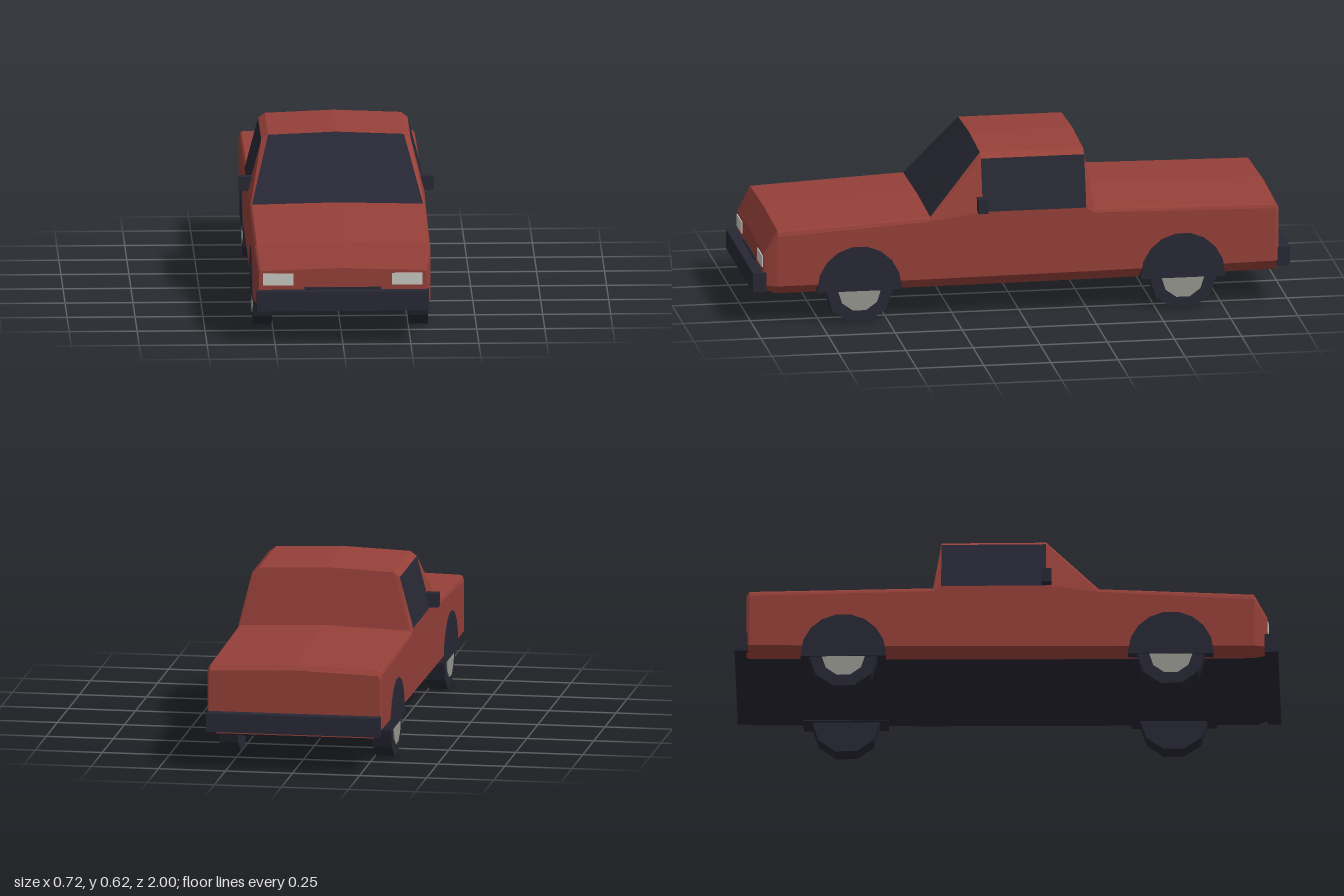
import * as THREE from 'three';

const mat = (name, color) => {
  const m = new THREE.MeshStandardMaterial({ color });
  m.name = name;
  return m;
};

// Hard facets: every face keeps its own normal
const faceted = (geo) => {
  const g = geo.index ? geo.toNonIndexed() : geo;
  g.computeVertexNormals();
  return g;
};

// Half cross-sections, front to back: sill bottom, sill, belt, roof side, top edge, crown
const SECTIONS = [
  { z: 0.96, p: [[0.28, 0.127], [0.31, 0.148], [0.308, 0.25], [0.307, 0.262], [0.302, 0.268], [0, 0.278]] },
  { z: 0.91, p: [[0.29, 0.112], [0.325, 0.147], [0.325, 0.335], [0.321, 0.35], [0.315, 0.358], [0, 0.366]] },
  { z: 0.34, p: [[0.29, 0.113], [0.325, 0.15], [0.325, 0.37], [0.321, 0.38], [0.315, 0.385], [0, 0.392]] },
  { z: 0.145, p: [[0.29, 0.114], [0.325, 0.152], [0.325, 0.398], [0.275, 0.588], [0.25, 0.606], [0, 0.616]] },
  { z: -0.24, p: [[0.29, 0.116], [0.325, 0.155], [0.325, 0.398], [0.275, 0.588], [0.25, 0.606], [0, 0.616]] },
  { z: -0.27, p: [[0.29, 0.116], [0.325, 0.155], [0.325, 0.378], [0.321, 0.388], [0.315, 0.394], [0, 0.405]] },
  { z: -0.945, p: [[0.29, 0.125], [0.325, 0.165], [0.325, 0.365], [0.321, 0.378], [0.315, 0.385], [0, 0.397]] },
  { z: -0.957, p: [[0.285, 0.132], [0.32, 0.168], [0.32, 0.35], [0.317, 0.36], [0.311, 0.367], [0, 0.378]] },
];

// Loft the body shell, sorting faces into paint, glass and underside
function bodyFaces() {
  const out = { paint: [], glass: [], underside: [] };
  const rings = SECTIONS.map(({ z, p }) => [
    ...p.map(([x, y]) => [x, y, z]),
    ...p.slice(0, -1).reverse().map(([x, y]) => [-x, y, z]),
  ]);
  const n = rings[0].length;
  for (let i = 0; i < rings.length - 1; i++) {
    for (let j = 0; j < n; j++) {
      const k = (j + 1) % n;
      const a = rings[i][j], b = rings[i][k], c = rings[i + 1][k], d = rings[i + 1][j];
      const strip = Math.min(j, n - 2 - j); // same index on both sides
      let list = out.paint;
      if (j === n - 1) list = out.underside;
      else if ((i === 2 && strip === 4) || (i === 3 && strip === 2)) list = out.glass;
      if (j < n / 2 - 1) list.push(...a, ...d, ...c, ...a, ...c, ...b);
      else list.push(...a, ...d, ...b, ...b, ...d, ...c);
    }
  }
  // Nose and tail caps
  const nose = rings[0], tail = rings[rings.length - 1];
  for (let j = 1; j < n - 1; j++) {
    out.paint.push(...nose[0], ...nose[j], ...nose[j + 1]);
    out.paint.push(...tail[0], ...tail[j + 1], ...tail[j]);
  }
  return out;
}

export function createModel() {
  const red = mat('red paint', 0x964039);
  const dark = mat('dark trim and glass', 0x272834);
  const hubGrey = mat('hub grey', 0x979791);
  const lampWhite = mat('lamp white', 0xcacac2);

  const model = new THREE.Group();
  model.name = 'pickupTruck';
  const add = (name, geo, material, x = 0, y = 0, z = 0) => {
    const m = new THREE.Mesh(geo, material);
    m.name = name;
    m.position.set(x, y, z);
    model.add(m);
    return m;
  };
  // Box given by its limits on each axis
  const box = (name, material, [x0, x1], [y0, y1], [z0, z1]) =>
    add(name, new THREE.BoxGeometry(x1 - x0, y1 - y0, z1 - z0), material,
      (x0 + x1) / 2, (y0 + y1) / 2, (z0 + z1) / 2);

  // Body shell
  const faces = bodyFaces();
  const shell = (name, list, material) => {
    const g = new THREE.BufferGeometry();
    g.setAttribute('position', new THREE.Float32BufferAttribute(list, 3));
    add(name, faceted(g), material);
  };
  shell('body', faces.paint, red);
  shell('windows', faces.glass, dark);
  shell('underside', faces.underside, dark);

  // Bumpers and grille strip
  box('frontBumper', dark, [-0.317, 0.317], [0.125, 0.198], [0.95, 1]);
  box('rearBumper', dark, [-0.322, 0.322], [0.145, 0.215], [-1, -0.95]);
  box('grille', dark, [-0.14, 0.14], [0.19, 0.207], [0.957, 0.965]);

  // Wheel arch outline: half circle with a short straight skirt
  const archPoints = [new THREE.Vector2(0.157, -0.01)];
  for (let i = 0; i <= 9; i++) {
    const t = (i / 9) * Math.PI;
    archPoints.push(new THREE.Vector2(Math.cos(t) * 0.157, Math.sin(t) * 0.16));
  }
  archPoints.push(new THREE.Vector2(-0.157, -0.01));
  const archGeo = faceted(new THREE.ExtrudeGeometry(new THREE.Shape(archPoints),
    { depth: 0.09, bevelEnabled: false }).translate(0, 0, -0.045).rotateY(Math.PI / 2));
  const disc = (r, w) => faceted(new THREE.CylinderGeometry(r, r, w, 10).rotateZ(Math.PI / 2));
  const tyreGeo = disc(0.125, 0.07);
  const hubGeo = disc(0.08, 0.006);

  for (const [side, s] of [['left', 1], ['right', -1]]) {
    // Lamps and mirrors
    const span = (a, b) => (s > 0 ? [a, b] : [-b, -a]);
    box(`${side}Headlight`, lampWhite, span(0.182, 0.293), [0.215, 0.259], [0.957, 0.964]);
    box(`${side}Mirror`, dark, span(0.295, 0.358), [0.399, 0.452], [0.13, 0.166]);

    // Wheels under their arches
    for (const [end, z] of [['front', 0.605], ['rear', -0.6]]) {
      add(`${side} ${end} arch`, archGeo, dark, s * 0.283, 0.127, z);
      add(`${side} ${end} tyre`, tyreGeo, dark, s * 0.287, 0.119, z);
      add(`${side} ${end} hub`, hubGeo, hubGrey, s * 0.322, 0.119, z);
    }
  }
  return model;
}
